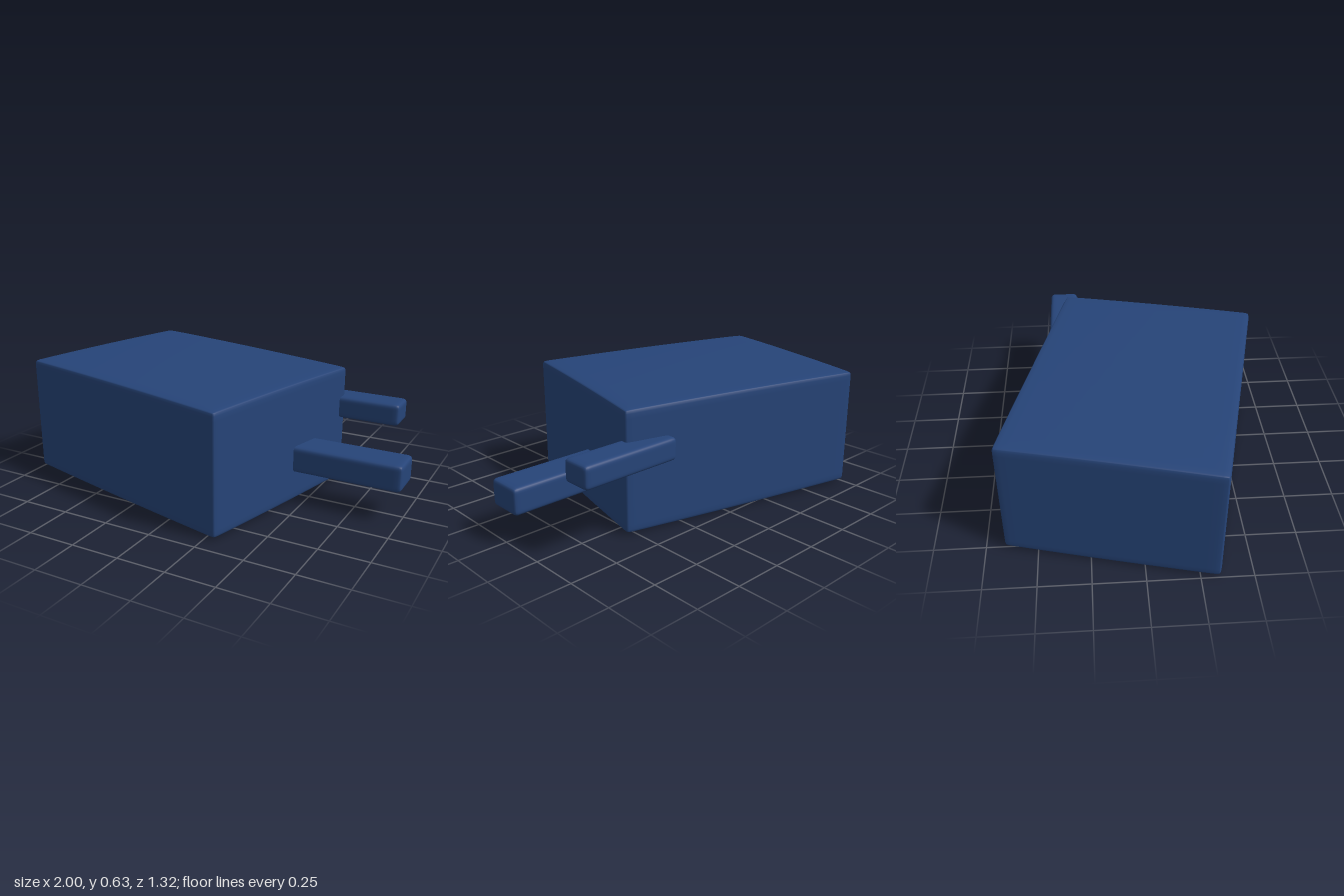
import * as THREE from 'three';
import { mergeVertices } from 'three/addons/utils/BufferGeometryUtils.js';

const material = new THREE.MeshStandardMaterial({ color: 0x264478 });

// Box with rounded edges and an optional slight swelling of top and bottom
function softBox(w, h, d, radius, bulge = 0) {
  let geo = new THREE.BoxGeometry(2, 2, 2, 16, 16, 16);
  geo.deleteAttribute('normal');
  geo.deleteAttribute('uv');
  geo = mergeVertices(geo);
  const pos = geo.attributes.position;
  const half = new THREE.Vector3(w / 2, h / 2, d / 2);
  const inner = half.clone().subScalar(radius);
  const p = new THREE.Vector3();
  const core = new THREE.Vector3();
  // crowd the grid lines towards the edges
  const ease = (u) => Math.sign(u) * (1 - (1 - Math.abs(u)) ** 2);
  for (let i = 0; i < pos.count; i++) {
    p.fromBufferAttribute(pos, i);
    p.set(ease(p.x), ease(p.y), ease(p.z)).multiply(half);
    core.copy(p).clamp(inner.clone().negate(), inner);
    p.sub(core).setLength(radius).add(core);
    const u = p.x / half.x, v = p.z / half.z;
    p.y *= 1 - bulge * (u * u + v * v) / 2;
    pos.setXYZ(i, p.x, p.y, p.z);
  }
  geo.computeVertexNormals();
  return geo;
}

function addPart(group, name, geometry, x, y, z) {
  const mesh = new THREE.Mesh(geometry, material);
  mesh.name = name;
  mesh.position.set(x, y, z);
  group.add(mesh);
  return mesh;
}

export function createModel() {
  const group = new THREE.Group();
  group.name = 'blockWithProngs';

  // Main block, turned about the vertical axis
  const body = addPart(group, 'body', softBox(1.346, 0.635, 1.034, 0.02, 0.03), -0.226, 0.3175, 0);
  body.rotation.y = -0.242;

  // Two prongs emerging from the side
  addPart(group, 'frontProng', softBox(0.62, 0.138, 0.19, 0.022), 0.69, 0.229, -0.002);
  addPart(group, 'backProng', softBox(0.54, 0.116, 0.156, 0.022), 0.59, 0.413, -0.365);

  return group;
}
